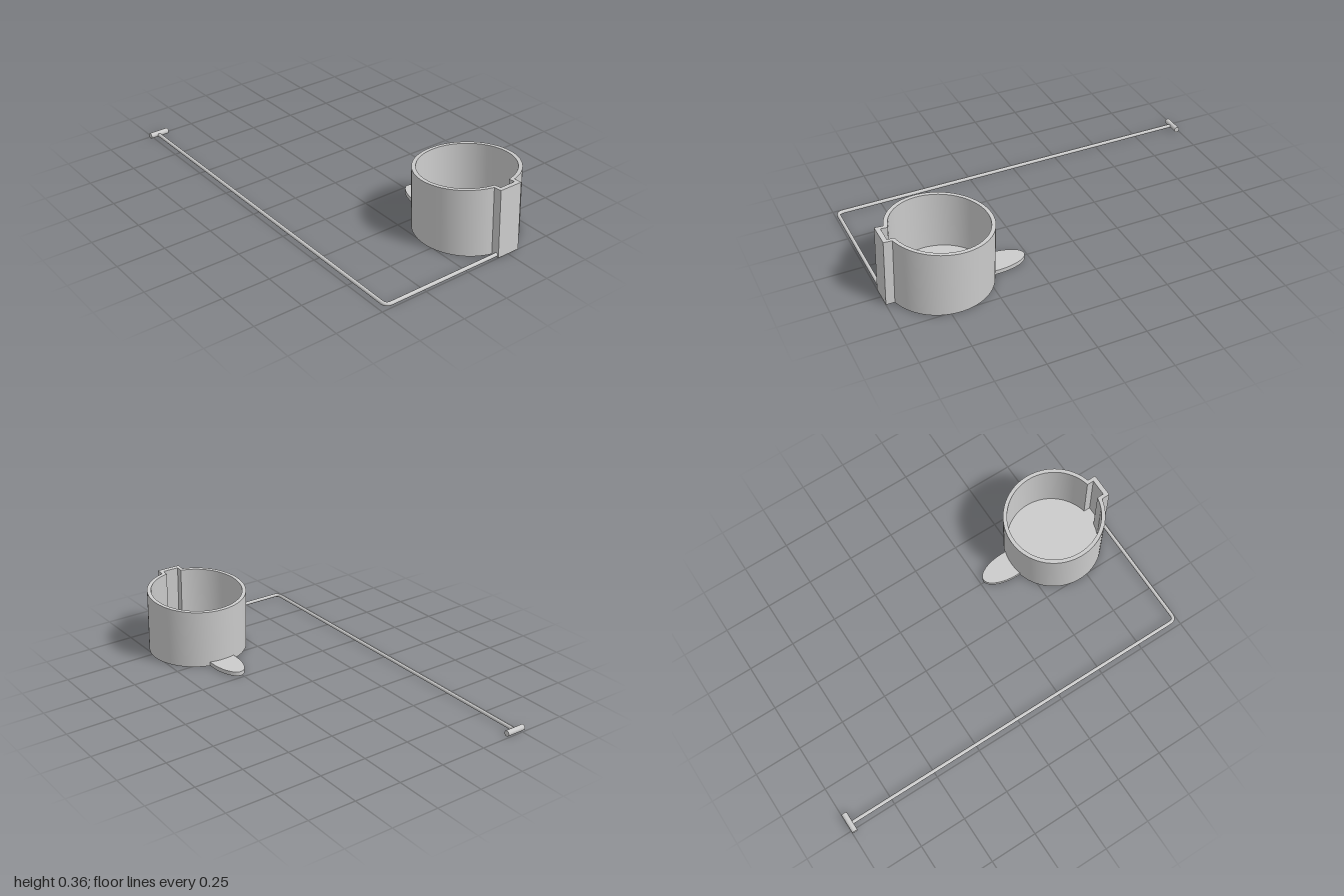
import * as THREE from 'three';
import { toCreasedNormals } from 'three/addons/utils/BufferGeometryUtils.js';

const CX = 0.252, CZ = 0.704; // centre of the cup at its base

export function createModel() {
  const group = new THREE.Group();
  const material = new THREE.MeshStandardMaterial({ color: 0xcccccc });

  const add = (name, geometry) => {
    const mesh = new THREE.Mesh(geometry, material);
    mesh.name = name;
    group.add(mesh);
    return mesh;
  };

  // Circle whose front opens into a rectangular bump of the given half width and reach
  const keyedCircle = (r, halfWidth, reach) => {
    const a = Math.asin(halfWidth / r);
    const pts = [];
    for (let i = 0; i <= 72; i++) {
      const t = a + (i / 72) * (Math.PI * 2 - 2 * a);
      pts.push(new THREE.Vector2(Math.sin(t) * r, -Math.cos(t) * r));
    }
    pts.push(new THREE.Vector2(-halfWidth, -reach), new THREE.Vector2(halfWidth, -reach));
    return pts;
  };

  // Extrude upward, then lean the prism backward and slope its top
  const leaningPrism = (shape, height, slope) => {
    const g = new THREE.ExtrudeGeometry(shape, { depth: height, bevelEnabled: false });
    g.rotateX(-Math.PI / 2);
    const p = g.attributes.position;
    for (let i = 0; i < p.count; i++) {
      const t = p.getY(i) / height;
      const z = p.getZ(i);
      const y = t * (height + slope * z);
      p.setXYZ(i, p.getX(i) + CX, y, z + CZ - 0.042 * y);
    }
    return toCreasedNormals(g, 0.5);
  };

  // Cup wall with front plate and inner keyway
  const wall = new THREE.Shape(keyedCircle(0.26, 0.063, 0.296));
  wall.holes.push(new THREE.Path(keyedCircle(0.24, 0.044, 0.272)));
  add('cupWall', leaningPrism(wall, 0.332, 0.08));

  // Cup floor
  add('cupFloor', leaningPrism(new THREE.Shape(keyedCircle(0.24, 0.044, 0.272)), 0.025, 0));

  // Rounded tab at the back of the base
  const tabShape = new THREE.Shape();
  tabShape.absellipse(0, 0.27, 0.072, 0.165, 0, Math.PI, false);
  tabShape.lineTo(-0.072, 0.25);
  tabShape.lineTo(0.072, 0.25);
  const tab = new THREE.ExtrudeGeometry(tabShape, { depth: 0.022, bevelEnabled: false, curveSegments: 32 });
  tab.rotateX(-Math.PI / 2);
  tab.translate(CX + 0.005, 0, CZ);
  add('backTab', toCreasedNormals(tab, 0.5));

  // Bent rod running left from the plate, then back
  const y = 0.012, r = 0.0095, rx = -0.468, rz = 0.985, bend = 0.032;
  const v = (x, z) => new THREE.Vector3(x, y, z);
  const rodPart = (name, curve, segments) => add(name, new THREE.TubeGeometry(curve, segments, r, 16, false));
  rodPart('frontRod', new THREE.LineCurve3(v(0.2, rz), v(rx + bend, rz)), 1);
  rodPart('rodBend', new THREE.QuadraticBezierCurve3(v(rx + bend, rz), v(rx, rz), v(rx, rz - bend)), 12);
  rodPart('longRod', new THREE.LineCurve3(v(rx, rz - bend), v(rx, -0.985)), 1);

  // Crossbar at the far end
  const bar = new THREE.CylinderGeometry(0.015, 0.015, 0.105, 24);
  bar.rotateZ(Math.PI / 2);
  add('crossbar', bar).position.set(-0.4625, 0.015, -0.985);

  return group;
}
